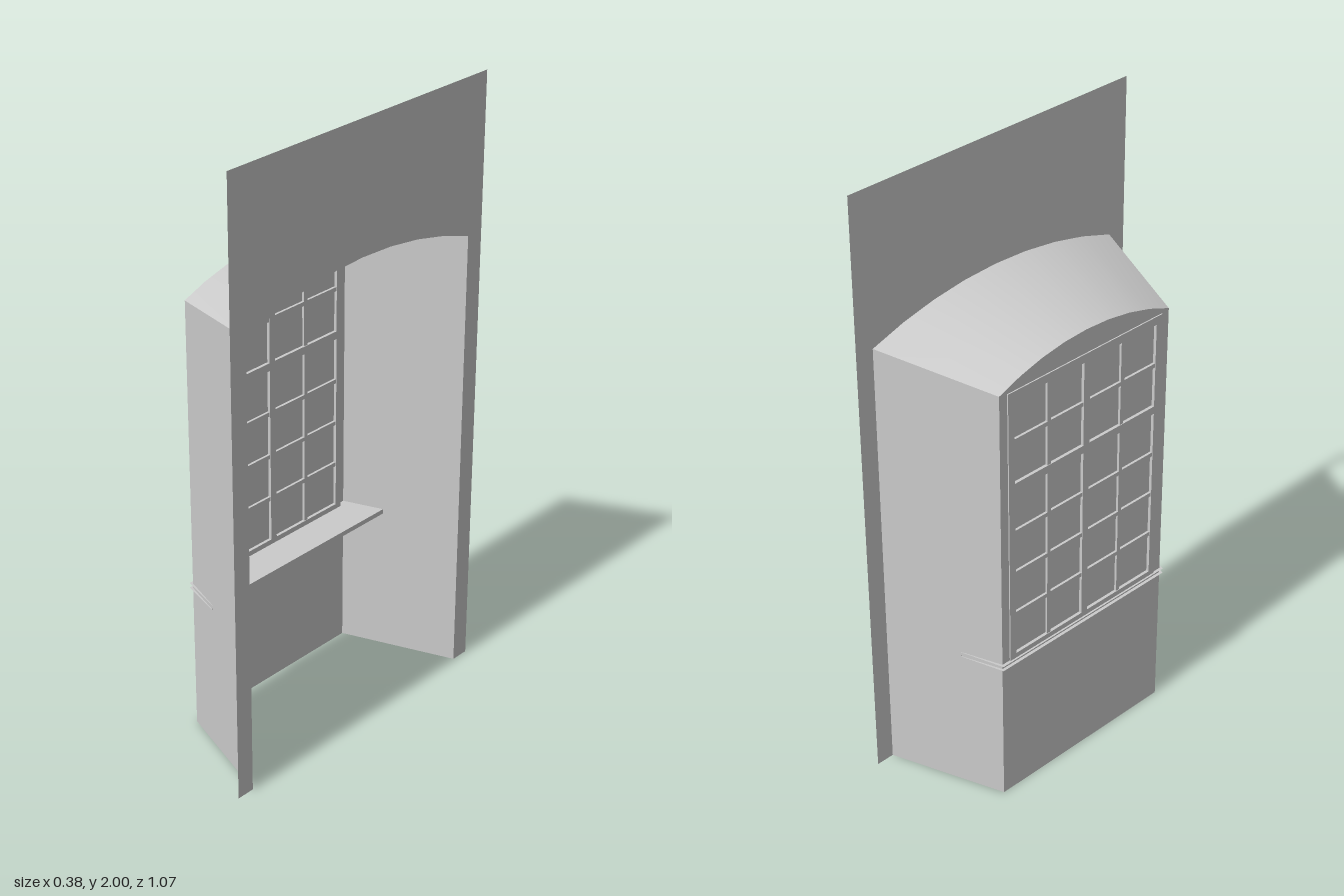
import * as THREE from 'three';

const FRONT = 0.19, BACK = -0.18, SEGS = 8;
const material = new THREE.MeshStandardMaterial({ color: 0xcccccc, side: THREE.DoubleSide });

// Points [z, y] along a shallow arch, from -half to +half
function archPoints(half, spring, rise) {
  const r = (half * half + rise * rise) / (2 * rise);
  const a = Math.asin(half / r);
  return Array.from({ length: SEGS + 1 }, (_, i) => {
    const t = -a + (2 * a * i) / SEGS;
    return new THREE.Vector2(r * Math.sin(t), spring + rise - r + r * Math.cos(t));
  });
}

// Surface through two rows of [x, y, z] points
function strip(rowA, rowB) {
  const g = new THREE.BufferGeometry();
  g.setAttribute('position', new THREE.Float32BufferAttribute([...rowA, ...rowB].flat(), 3));
  const n = rowA.length, index = [];
  for (let i = 0; i < n - 1; i++) index.push(i, i + 1, n + i, i + 1, n + i + 1, n + i);
  g.setIndex(index);
  g.computeVertexNormals();
  return g;
}

export function createModel() {
  const group = new THREE.Group();
  const add = (name, geometry, parent = group) => {
    const mesh = new THREE.Mesh(geometry, material);
    mesh.name = name;
    parent.add(mesh);
    return mesh;
  };
  // Flat sheet facing +x
  const sheet = (name, shape, x) =>
    add(name, new THREE.ShapeGeometry(shape).rotateY(Math.PI / 2).translate(x, 0, 0));

  const outer = archPoints(0.472, 1.5, 0.085);
  const inner = archPoints(0.34, 1.452, 0.072);
  const v = (z, y) => new THREE.Vector2(z, y);

  // Front wall with the arched opening cut from its foot
  sheet('wallPanel', new THREE.Shape([
    v(-0.533, 0), v(-0.472, 0), ...outer, v(0.472, 0), v(0.533, 0), v(0.533, 2), v(-0.533, 2),
  ]), FRONT);

  // Niche back wall with a window hole
  const backWall = new THREE.Shape([v(-0.34, 0), v(0.34, 0), ...inner.slice().reverse()]);
  backWall.holes.push(new THREE.Path([v(-0.31, 0.507), v(-0.31, 1.447), v(0.31, 1.447), v(0.31, 0.507)]));
  sheet('nicheBackWall', backWall, BACK);

  // Splayed arch soffit and side walls
  add('archSoffit', strip(outer.map(p => [FRONT, p.y, p.x]), inner.map(p => [BACK, p.y, p.x])));
  for (const s of [-1, 1]) {
    add(s > 0 ? 'leftReveal' : 'rightReveal', strip(
      [[FRONT, 0, 0.472 * s], [FRONT, 1.5, 0.472 * s]],
      [[BACK, 0, 0.34 * s], [BACK, 1.452, 0.34 * s]]));
  }

  // Window sill, tapered with the reveals and open at its ends
  const edge = (x, y, half) => [[x, y, -half], [x, y, half]];
  add('sillTop', strip(edge(-0.19, 0.508, 0.345), edge(-0.05, 0.508, 0.388)));
  add('sillFront', strip(edge(-0.05, 0.508, 0.388), edge(-0.05, 0.492, 0.388)));
  add('sillUnderside', strip(edge(-0.05, 0.492, 0.388), edge(-0.19, 0.492, 0.345)));

  // Window: frame, sash rails and glazing bars in front of the glass
  const win = new THREE.Group();
  win.name = 'window';
  group.add(win);
  const bar = (name, z0, z1, y0, y1, x0 = -0.184, x1 = -0.164) => {
    const g = new THREE.BoxGeometry(x1 - x0, y1 - y0, z1 - z0);
    add(name, g.translate((x0 + x1) / 2, (y0 + y1) / 2, (z0 + z1) / 2), win);
  };
  add('glass', new THREE.PlaneGeometry(0.62, 0.94).rotateY(Math.PI / 2).translate(-0.174, 0.977, 0), win);
  bar('rightStile', -0.31, -0.286, 0.507, 1.447);
  bar('leftStile', 0.286, 0.31, 0.507, 1.447);
  bar('centreMullion', -0.012, 0.012, 0.525, 1.42);
  bar('bottomRail', -0.286, 0.286, 0.507, 0.525);
  bar('topRail', -0.286, 0.286, 1.42, 1.447);
  bar('transom', -0.286, 0.286, 1.112, 1.138);
  for (const s of [-1, 1]) {
    const z = 0.149 * s;
    bar('verticalGlazingBar', z - 0.007, z + 0.007, 0.525, 1.42, -0.182, -0.166);
  }
  for (const y of [0.67, 0.818, 0.965, 1.28]) {
    bar('horizontalGlazingBar', -0.286, 0.286, y - 0.007, y + 0.007, -0.182, -0.166);
  }
  return group;
}
